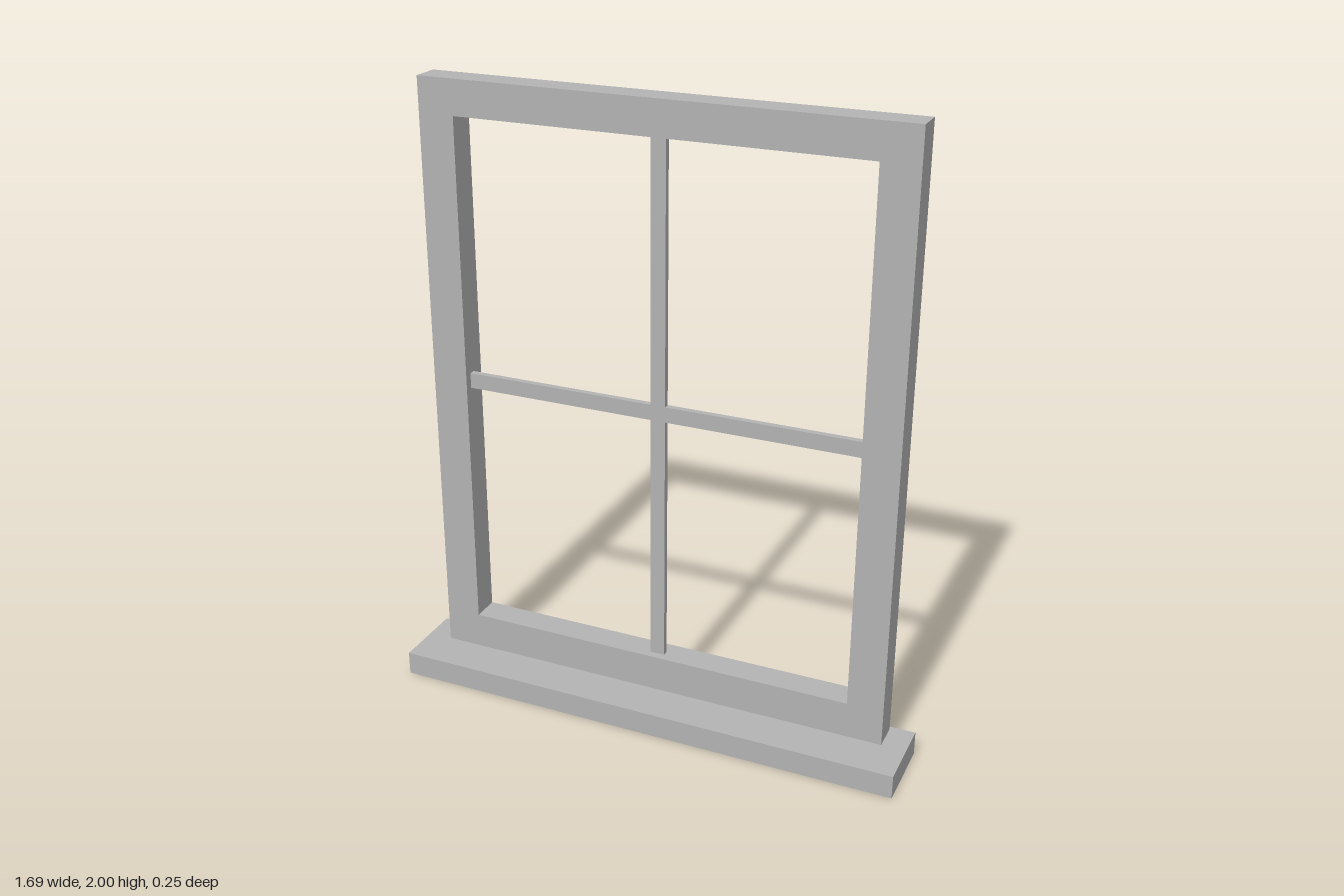
import * as THREE from 'three';

export function createModel() {
  const group = new THREE.Group();
  const paint = new THREE.MeshStandardMaterial({ color: 0xb3b3b3 });
  paint.name = 'light grey paint';

  // Box given by its lower and upper limits on each axis
  function box(name, [x0, x1], [y0, y1], [z0, z1]) {
    const mesh = new THREE.Mesh(new THREE.BoxGeometry(x1 - x0, y1 - y0, z1 - z0), paint);
    mesh.position.set((x0 + x1) / 2, (y0 + y1) / 2, (z0 + z1) / 2);
    mesh.name = name;
    group.add(mesh);
  }

  const outer = 0.764, inner = 0.648;      // frame half widths
  const sillTop = 0.078, low = 0.197, high = 1.89;
  const back = -0.11, front = -0.018;

  // Sill
  box('sill', [-0.843, 0.843], [0, sillTop], [-0.124, 0.124]);

  // Frame: one solid with a rectangular opening
  const shape = new THREE.Shape();
  shape.moveTo(-outer, sillTop).lineTo(outer, sillTop).lineTo(outer, 2).lineTo(-outer, 2).closePath();
  const opening = new THREE.Path();
  opening.moveTo(-inner, low).lineTo(-inner, high).lineTo(inner, high).lineTo(inner, low).closePath();
  shape.holes.push(opening);
  const frame = new THREE.Mesh(
    new THREE.ExtrudeGeometry(shape, { depth: front - back, bevelEnabled: false }), paint);
  frame.position.z = back;
  frame.name = 'frame';
  group.add(frame);

  // Glazing bars: one upright, and a cross bar in two halves
  const barZ = [-0.064, -0.044], half = 0.024, barY = [1.017, 1.067];
  box('uprightBar', [-half, half], [low, high], barZ);
  box('crossBarRight', [-inner, -half], barY, barZ);
  box('crossBarLeft', [half, inner], barY, barZ);

  return group;
}
